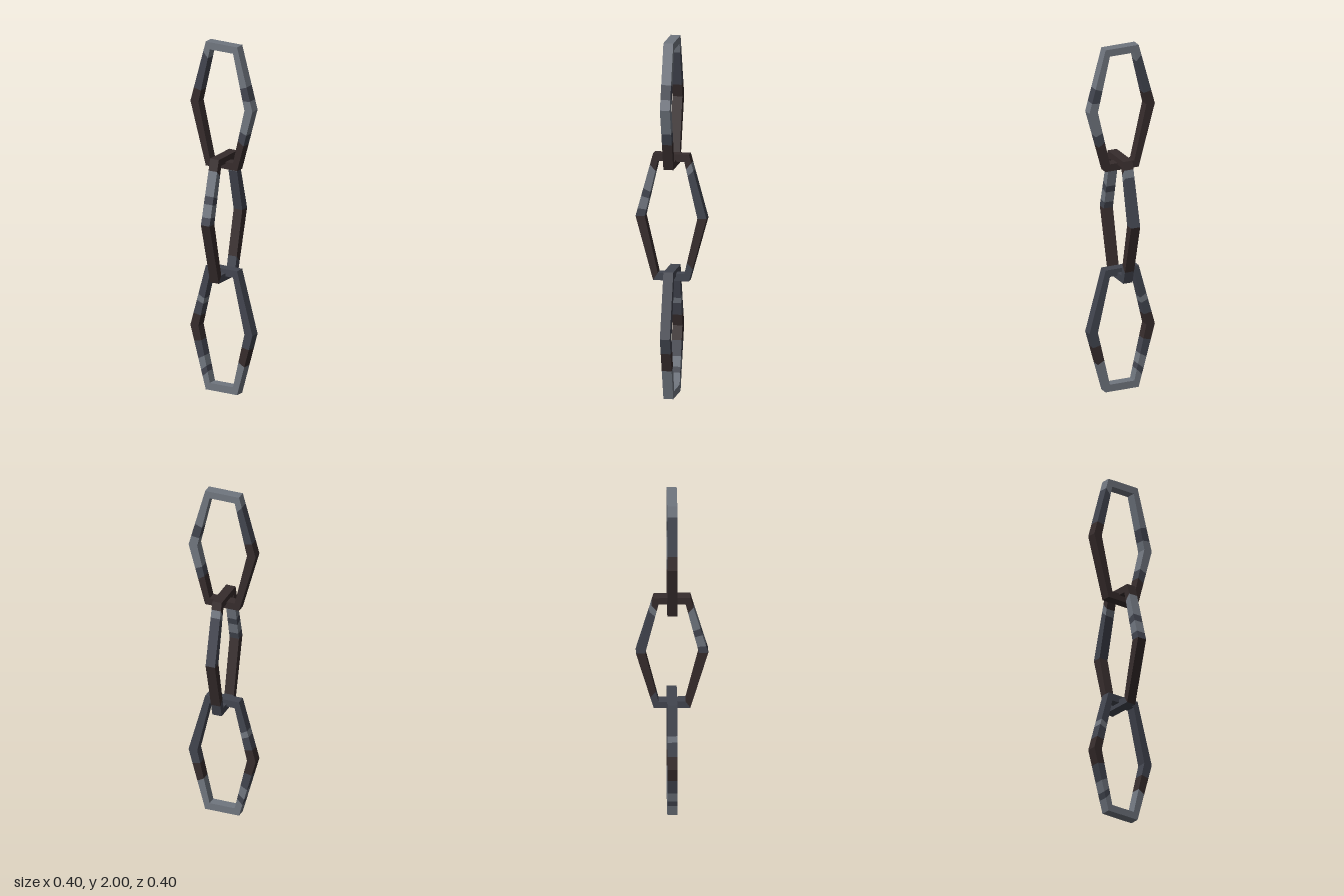
import * as THREE from 'three';

const mat = (name, color) => {
  const m = new THREE.MeshStandardMaterial({ color });
  m.name = name;
  return m;
};

// Corners of a link, clockwise from the top left, and the depth of its bar
const OUTER = [[-0.1, 0.356], [0.1, 0.356], [0.198, 0], [0.1, -0.356], [-0.1, -0.356], [-0.198, 0]];
const INNER = [[-0.074, 0.315], [0.074, 0.315], [0.147, 0], [0.074, -0.315], [-0.074, -0.315], [-0.147, 0]];
const DEPTH = 0.055;
const SIDES = ['topBar', 'upperRightBar', 'lowerRightBar', 'bottomBar', 'lowerLeftBar', 'upperLeftBar'];

const mix = (a, b, t) => new THREE.Vector2(a[0] + (b[0] - a[0]) * t, a[1] + (b[1] - a[1]) * t);

// One stretch of bar on side i, from fraction t0 to t1 of its length
function barGeometry(i, t0, t1) {
  const j = (i + 1) % 6;
  const shape = new THREE.Shape([
    mix(OUTER[i], OUTER[j], t0), mix(OUTER[i], OUTER[j], t1),
    mix(INNER[i], INNER[j], t1), mix(INNER[i], INNER[j], t0),
  ]);
  const g = new THREE.ExtrudeGeometry(shape, { depth: DEPTH, bevelEnabled: false });
  return g.translate(0, 0, -DEPTH / 2);
}

export function createModel() {
  const L = mat('light steel', 0x70767f);
  const S = mat('dark slate', 0x42454f);
  const B = mat('rust brown', 0x362c2c);

  // Each side of a link lists its colour patches as [material, end fraction]
  const links = [
    {
      name: 'topLink', y: 1.644, turn: 0,
      sides: [
        [[L, 1]],
        [[L, 0.62], [S, 0.84], [L, 1]],
        [[L, 0.4], [S, 0.58], [B, 1]],
        [[B, 1]],
        [[B, 1]],
        [[B, 0.22], [S, 0.83], [L, 1]],
      ],
    },
    {
      name: 'middleLink', y: 1.004, turn: -Math.PI / 2,
      sides: [
        [[B, 1]],
        [[B, 0.18], [L, 0.56], [S, 0.68], [L, 0.88], [S, 1]],
        [[B, 1]],
        [[S, 1]],
        [[S, 0.2], [B, 1]],
        [[S, 0.75], [L, 0.87], [B, 1]],
      ],
    },
    {
      name: 'bottomLink', y: 0.356, turn: 0,
      sides: [
        [[S, 1]],
        [[S, 1]],
        [[S, 0.24], [B, 0.53], [L, 1]],
        [[L, 1]],
        [[L, 0.2], [S, 0.3], [L, 0.48], [S, 0.75], [B, 1]],
        [[B, 0.2], [S, 0.42], [L, 0.52], [S, 1]],
      ],
    },
  ];

  const model = new THREE.Group();
  model.name = 'chain';
  for (const { name, y, turn, sides } of links) {
    const link = new THREE.Group();
    link.name = name;
    link.position.y = y;
    link.rotation.y = turn;
    sides.forEach((patches, i) => {
      let start = 0;
      for (const [material, end] of patches) {
        const bar = new THREE.Mesh(barGeometry(i, start, end), material);
        bar.name = SIDES[i];
        link.add(bar);
        start = end;
      }
    });
    model.add(link);
  }
  return model;
}
